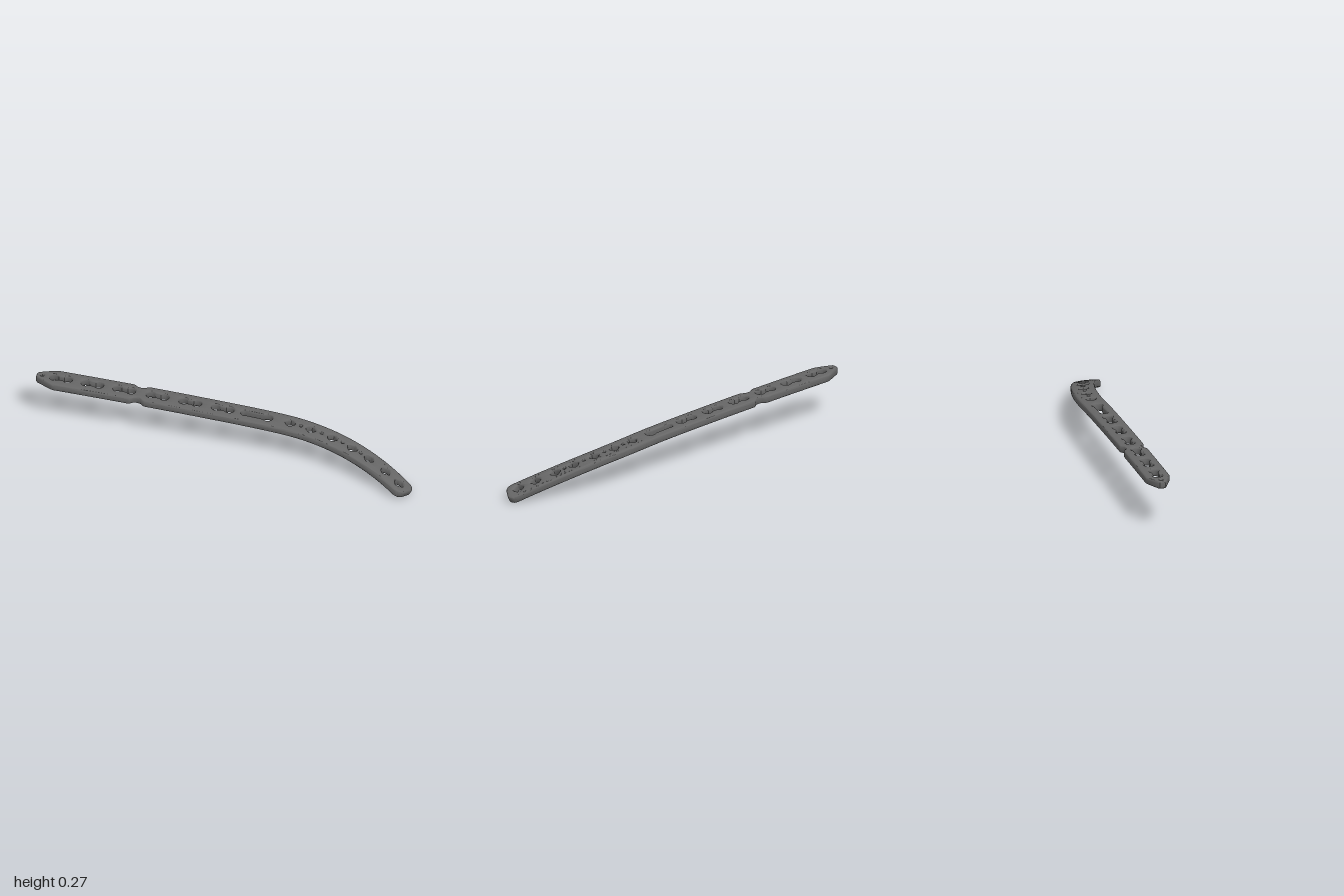
import * as THREE from 'three';
import { toCreasedNormals } from 'three/addons/utils/BufferGeometryUtils.js';

const STRAIGHT_END = 0.28; // where the sideways sweep starts
const SWEEP_RADIUS = 1.4;
const AXIS_Z = -0.083;

const V = (x, y) => new THREE.Vector2(x, y);

// Points on an arc, both ends included
function arc(cx, cy, r, from, to, n) {
  return Array.from({ length: n + 1 }, (_, i) => {
    const a = from + ((to - from) * i) / n;
    return V(cx + r * Math.cos(a), cy + r * Math.sin(a));
  });
}

// Closed loop of polar radius r + k cos(4a): slightly diamond-shaped for k > 0
function roundHole(s, r, k = 0, n = 20) {
  const pts = [];
  for (let i = 0; i < n; i++) {
    const a = (i / n) * Math.PI * 2;
    const q = r + k * Math.cos(4 * a);
    pts.push(V(s + q * Math.cos(a), q * Math.sin(a)));
  }
  return new THREE.Path(pts);
}

// Two round lobes joined by a bridge of half-width w
function doubleHole(s1, r1, s2, r2, w) {
  const a1 = Math.asin(w / r1);
  const a2 = Math.PI - Math.asin(w / r2);
  return new THREE.Path([
    ...arc(s2, 0, r2, -a2, a2, 14),
    ...arc(s1, 0, r1, a1, Math.PI * 2 - a1, 14),
  ]);
}

// Flat outline of the plate: pointed end, waist notch, tapering rounded end
function plateShape() {
  const side = [
    V(-1, 0.014), V(-0.993, 0.022), V(-0.915, 0.06), V(-0.9, 0.064),
    V(-0.51, 0.064), V(-0.498, 0.061), V(-0.482, 0.047), V(-0.465, 0.044),
    V(-0.448, 0.047), V(-0.432, 0.061), V(-0.42, 0.064),
    V(0.28, 0.064), V(0.7, 0.061),
    ...arc(0.972, 0.019, 0.038, Math.PI / 2, 0, 8),
  ];
  const mirrored = side.map((p) => V(p.x, -p.y));
  const shape = new THREE.Shape([...mirrored, ...side.reverse()]);

  shape.holes.push(roundHole(-0.97, 0.008));
  for (const s of [-0.873, -0.71, -0.543, -0.37, -0.2, -0.03]) {
    shape.holes.push(doubleHole(s - 0.034, 0.024, s + 0.034, 0.024, 0.015));
  }
  shape.holes.push(doubleHole(0.085, 0.02, 0.202, 0.026, 0.018));
  for (const s of [0.32, 0.43, 0.547, 0.66, 0.759, 0.862, 0.95]) {
    shape.holes.push(roundHole(s, 0.023, 0.002));
  }
  for (const s of [0.376, 0.489, 0.604, 0.7095]) {
    shape.holes.push(roundHole(s, 0.006, 0, 12));
  }
  return shape;
}

// Halve the longest edge until every edge is short enough to bend smoothly
function subdivide(geometry, maxEdge) {
  const pos = geometry.attributes.position;
  const out = [];
  const stack = [];
  for (let i = 0; i < pos.count; i += 3) {
    stack.push([0, 1, 2].map((k) => new THREE.Vector3().fromBufferAttribute(pos, i + k)));
  }
  while (stack.length) {
    const t = stack.pop();
    const len = t.map((p, k) => p.distanceTo(t[(k + 1) % 3]));
    const k = len.indexOf(Math.max(...len));
    if (len[k] <= maxEdge) {
      t.forEach((p) => out.push(p.x, p.y, p.z));
      continue;
    }
    const a = t[k], b = t[(k + 1) % 3], c = t[(k + 2) % 3];
    const m = a.clone().add(b).multiplyScalar(0.5);
    stack.push([a, m, c], [m, b, c]);
  }
  const g = new THREE.BufferGeometry();
  g.setAttribute('position', new THREE.Float32BufferAttribute(out, 3));
  return g;
}

// Sweep the plate sideways, crown its top and curve it downwards
function bend(geometry) {
  const pos = geometry.attributes.position;
  for (let i = 0; i < pos.count; i++) {
    const s = pos.getX(i);
    const w = -pos.getY(i);
    const h = pos.getZ(i) * (pos.getZ(i) > 0 ? 1 - 55 * w * w : 1);

    const a = Math.max(0, s - STRAIGHT_END) / SWEEP_RADIUS;
    const x = Math.min(s, STRAIGHT_END) + SWEEP_RADIUS * Math.sin(a) - w * Math.sin(a);
    const z = AXIS_Z + SWEEP_RADIUS * (1 - Math.cos(a)) + w * Math.cos(a);

    const p = Math.max(0, x);
    const y = 0.222 - 0.05 * x - 0.017 * x * x - 0.139 * p ** 3;
    const slope = -0.05 - 0.034 * x - 0.417 * p * p;
    const n = Math.hypot(1, slope);
    pos.setXYZ(i, x - (h * slope) / n, y + h / n, z);
  }
  return geometry;
}

export function createModel() {
  const steel = new THREE.MeshStandardMaterial({ name: 'dark grey metal', color: 0x666666 });

  const flat = new THREE.ExtrudeGeometry(plateShape(), {
    depth: 0.018,
    bevelEnabled: true,
    bevelThickness: 0.012,
    bevelSize: 0.008,
    bevelOffset: -0.008,
    bevelSegments: 3,
  });
  flat.translate(0, 0, -0.009);
  const bent = bend(subdivide(flat, 0.045));

  // Stand on the ground, centred
  bent.computeBoundingBox();
  const { min, max } = bent.boundingBox;
  bent.translate(-(min.x + max.x) / 2, -min.y, -(min.z + max.z) / 2);

  const plate = new THREE.Mesh(toCreasedNormals(bent, 0.65), steel);
  plate.name = 'curvedPlate';

  const group = new THREE.Group();
  group.name = 'perforatedPlate';
  group.add(plate);
  return group;
}
